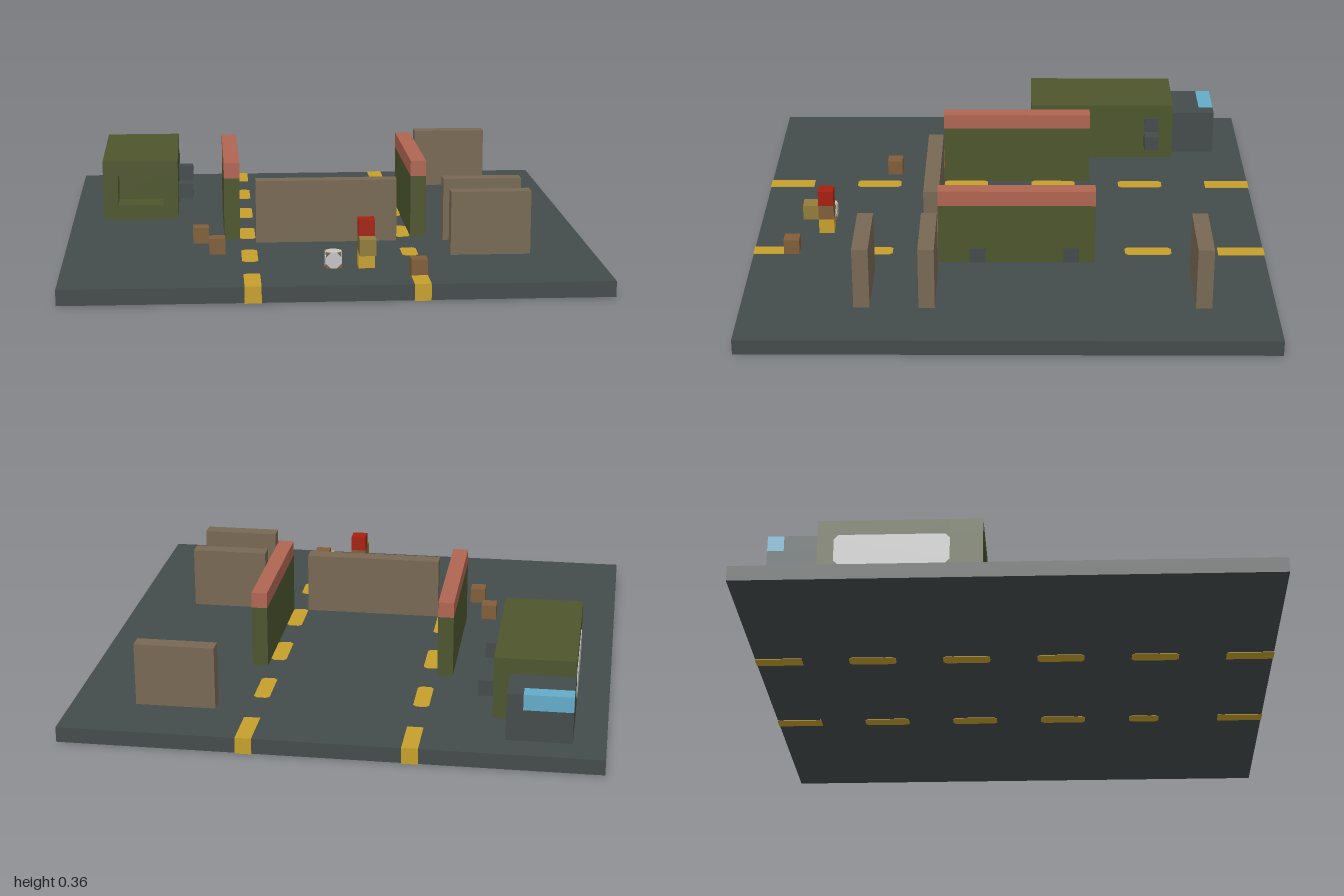
import * as THREE from 'three';

const U = 2 / 33; // one block

function mat(name, color) {
  const m = new THREE.MeshStandardMaterial({ color });
  m.name = name;
  return m;
}

export function createModel() {
  const asphalt = mat('asphalt', 0x444b4b);
  const yellow = mat('yellow', 0xc6a02c);
  const green = mat('armyGreen', 0x4d552d);
  const salmon = mat('brickRed', 0xb06552);
  const tan = mat('tan', 0x776853);
  const brown = mat('crateBrown', 0x805e39);
  const red = mat('red', 0xa52010);
  const olive = mat('ochre', 0x917c3a);
  const blue = mat('glassBlue', 0x63abc8);
  const grey = mat('lightGrey', 0xc4c4c4);

  const model = new THREE.Group();
  model.name = 'checkpoint';

  // Box given by its lower and upper corners
  function box(name, m, x0, x1, y0, y1, z0, z1, parent = model) {
    const mesh = new THREE.Mesh(new THREE.BoxGeometry(x1 - x0, y1 - y0, z1 - z0), m);
    mesh.position.set((x0 + x1) / 2, (y0 + y1) / 2, (z0 + z1) / 2);
    mesh.name = name;
    parent.add(mesh);
    return mesh;
  }

  // Plate with cut corners, lying in xy and thick along z
  function plate(name, m, w, h, cut, t, parent = model) {
    const a = w / 2, b = h / 2;
    const s = new THREE.Shape([
      [-a + cut, -b], [a - cut, -b], [a, -b + cut], [a, b - cut],
      [a - cut, b], [-a + cut, b], [-a, b - cut], [-a, -b + cut],
    ].map(([x, y]) => new THREE.Vector2(x, y)));
    const g = new THREE.ExtrudeGeometry(s, { depth: t, bevelEnabled: false });
    g.translate(0, 0, -t / 2);
    const mesh = new THREE.Mesh(g, m);
    mesh.name = name;
    parent.add(mesh);
    return mesh;
  }

  const G = U; // ground height
  const wallTop = 5 * U;

  // Road slab
  box('roadSlab', asphalt, -1, 1, 0.002, G, -0.998, 0.998);

  // Road dashes run right through the slab
  for (const side of [-1, 1]) {
    for (let i = 0; i < 6; i++) {
      const z0 = -1 + i * 6 * U;
      const len = side > 0 && i === 4 ? 2 * U : 3 * U;
      const x = side * 5 * U;
      if (i === 0 || i === 5) {
        box('roadDash', yellow, x - U / 2, x + U / 2, 0, G + 0.002, z0, z0 + len);
      } else {
        const d = plate('roadDash', yellow, U, len, 0.012, G + 0.002);
        d.rotation.x = -Math.PI / 2;
        d.position.set(x, (G + 0.002) / 2, z0 + len / 2);
      }
    }
  }

  // Green barriers with brick caps
  for (const side of [-1, 1]) {
    const x0 = side * 6 * U - U / 2, x1 = x0 + U;
    box('barrierWall', green, x0, x1, G, wallTop, -5.5 * U, 4.5 * U);
    box('barrierCap', salmon, x0, x1, wallTop, 6 * U, -5.5 * U, 4.5 * U);
  }
  for (const z of [2 * U, -4 * U]) {
    box('barrierVent', asphalt, 6.5 * U, 6.5 * U + 0.003, G, 2 * U, z - U / 2, z + U / 2);
  }

  // Tan walls
  for (const [x0, x1, z] of [[-4.5, 4.5, 5], [7.5, 12.5, 5], [7.5, 12.5, 9], [7.5, 12.5, -12]]) {
    box('tanWall', tan, x0 * U, x1 * U, G, wallTop, (z - 0.5) * U, (z + 0.5) * U);
  }

  // Crates
  for (const [x, z] of [[-8, 5], [-7, 8], [5, 14]]) {
    box('crate', brown, (x - 0.5) * U, (x + 0.5) * U, G, 2 * U, (z - 0.5) * U, (z + 0.5) * U);
  }

  // Small crate with pale octagonal faces
  const lamp = new THREE.Group();
  lamp.name = 'paleCrate';
  lamp.position.set(0, 1.5 * U, 12 * U);
  model.add(lamp);
  const c = 0.48 * U;
  box('paleCrateCore', brown, -c, c, -U / 2, c, -c, c, lamp);
  for (let i = 0; i < 4; i++) {
    const f = plate('paleCrateSide', grey, U * 0.95, U * 0.95, 0.017, 0.004, lamp);
    f.rotation.y = i * Math.PI / 2;
    f.position.set(Math.sin(i * Math.PI / 2) * c, 0, Math.cos(i * Math.PI / 2) * c);
  }
  const lid = plate('paleCrateLid', grey, U * 0.95, U * 0.95, 0.017, 0.004, lamp);
  lid.rotation.x = -Math.PI / 2;
  lid.position.y = c;

  // Guard figure
  const guard = new THREE.Group();
  guard.name = 'guard';
  model.add(guard);
  [['guardLegs', yellow], ['guardTorso', brown], ['guardHead', red]].forEach(([n, m], i) =>
    box(n, m, 1.5 * U, 2.5 * U, (1 + i) * U, (2 + i) * U, 11.5 * U, 12.5 * U, guard));
  box('guardArms', olive, 1.5 * U, 2.5 * U, 2 * U, 3 * U, 12.5 * U, 13.5 * U, guard);

  // Truck body, with a recess in the tail
  const truck = new THREE.Group();
  truck.name = 'truck';
  model.add(truck);
  const L = -14.5 * U, R = -9.5 * U, tail = -1.5 * U, inner = -3.5 * U;
  box('truckBody', green, L, R, G, wallTop, -11.5 * U, inner, truck);
  box('truckTailFloor', green, L, R, G, 2 * U, inner, tail, truck);
  box('truckTailRoof', green, L, R, 4 * U, wallTop, inner, tail, truck);
  box('truckTailSide', green, L, L + U, 2 * U, 4 * U, inner, tail, truck);
  box('truckTailSide', green, R - U, R, 2 * U, 4 * U, inner, tail, truck);

  // Cab with a corner windscreen
  box('cabLower', asphalt, L, -10.5 * U, G, 3 * U, -14.5 * U, -11.5 * U, truck);
  box('cabRoof', asphalt, L, -10.5 * U, 3 * U, 4 * U, -13.5 * U, -11.5 * U, truck);
  box('cabPillar', asphalt, -11.5 * U, -10.5 * U, 3 * U, 4 * U, -14.5 * U, -13.5 * U, truck);
  box('windscreen', blue, L, -11.5 * U, 3 * U, 4 * U, -14.5 * U, -13.5 * U, truck);

  // Side fittings and pale side panel
  for (const z of [-10, -4]) {
    box('sideFitting', asphalt, R, R + U, 2 * U, 3 * U, (z - 0.5) * U, (z + 0.5) * U, truck);
  }
  box('sideWindow', asphalt, R, R + 0.003, 3 * U, 4 * U, -10.5 * U, -9.5 * U, truck);
  const panel = plate('sidePanel', grey, 7 * U, 2 * U, 0.017, 0.006, truck);
  panel.rotation.y = -Math.PI / 2;
  panel.position.set(L, 3 * U, -7 * U);

  return model;
}
